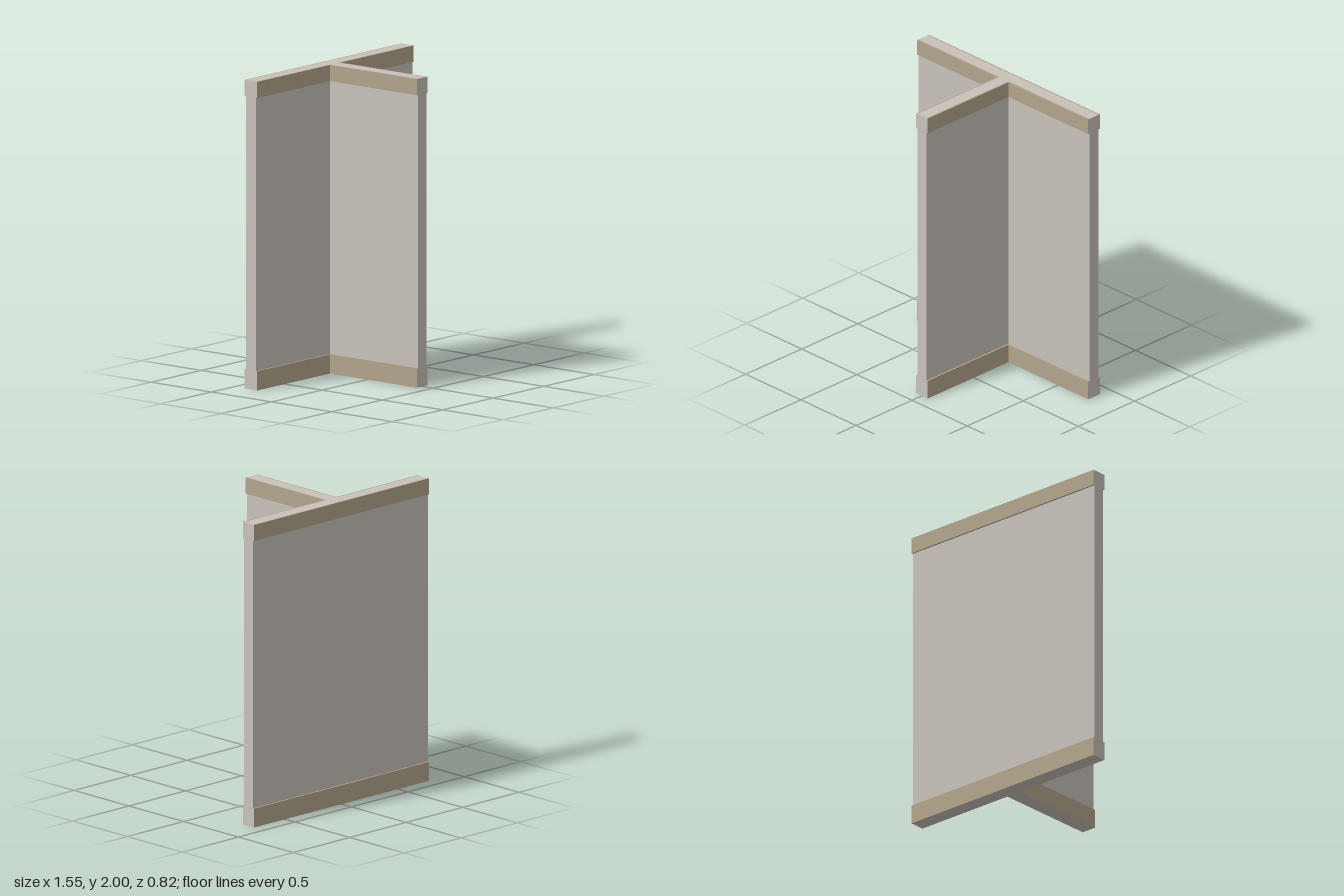
import * as THREE from 'three';

const HALF_LENGTH = 0.775, FRONT = 0.412, WALL_Z = -0.36;
const CORE = 0.041, TRIM = 0.052, HEIGHT = 2; // half thicknesses and height

export function createModel() {
  const group = new THREE.Group();
  const grey = new THREE.MeshStandardMaterial({ color: 0xc8c2ba });
  grey.name = 'plasterGrey';
  const tan = new THREE.MeshStandardMaterial({ color: 0xb2a58c });
  tan.name = 'trimTan';

  // T-shaped wall core, extruded upward
  const back = WALL_Z - CORE, face = WALL_Z + CORE;
  const outline = [
    [-HALF_LENGTH, back], [HALF_LENGTH, back], [HALF_LENGTH, face], [CORE, face],
    [CORE, FRONT], [-CORE, FRONT], [-CORE, face], [-HALF_LENGTH, face],
  ].map(([x, z]) => new THREE.Vector2(x, -z));
  const coreGeometry = new THREE.ExtrudeGeometry(new THREE.Shape(outline), { depth: HEIGHT, bevelEnabled: false });
  coreGeometry.rotateX(-Math.PI / 2);
  const core = new THREE.Mesh(coreGeometry, grey);
  core.name = 'wallCore';
  group.add(core);

  // Thin trim board between two corners; exposed ends are plaster grey
  function board(name, x0, x1, y0, y1, z0, z1, endsOnX) {
    const ends = endsOnX ? [0, 1] : [4, 5];
    const materials = Array.from({ length: 6 }, (_, i) => (ends.includes(i) ? grey : tan));
    if (y0 === 0) materials[3] = grey;
    const mesh = new THREE.Mesh(new THREE.BoxGeometry(x1 - x0, y1 - y0, z1 - z0), materials);
    mesh.position.set((x0 + x1) / 2, (y0 + y1) / 2, (z0 + z1) / 2);
    mesh.name = name;
    group.add(mesh);
  }

  // Baseboard and top rail around every wall face
  for (const [name, y0, y1] of [['baseboard', 0, 0.125], ['topRail', 1.895, HEIGHT]]) {
    board(name + 'Back', -HALF_LENGTH, HALF_LENGTH, y0, y1, WALL_Z - TRIM, back, true);
    board(name + 'FrontLeft', CORE, HALF_LENGTH, y0, y1, face, WALL_Z + TRIM, true);
    board(name + 'FrontRight', -HALF_LENGTH, -CORE, y0, y1, face, WALL_Z + TRIM, true);
    board(name + 'StemLeft', CORE, TRIM, y0, y1, WALL_Z + TRIM, FRONT, false);
    board(name + 'StemRight', -TRIM, -CORE, y0, y1, WALL_Z + TRIM, FRONT, false);
  }
  return group;
}
